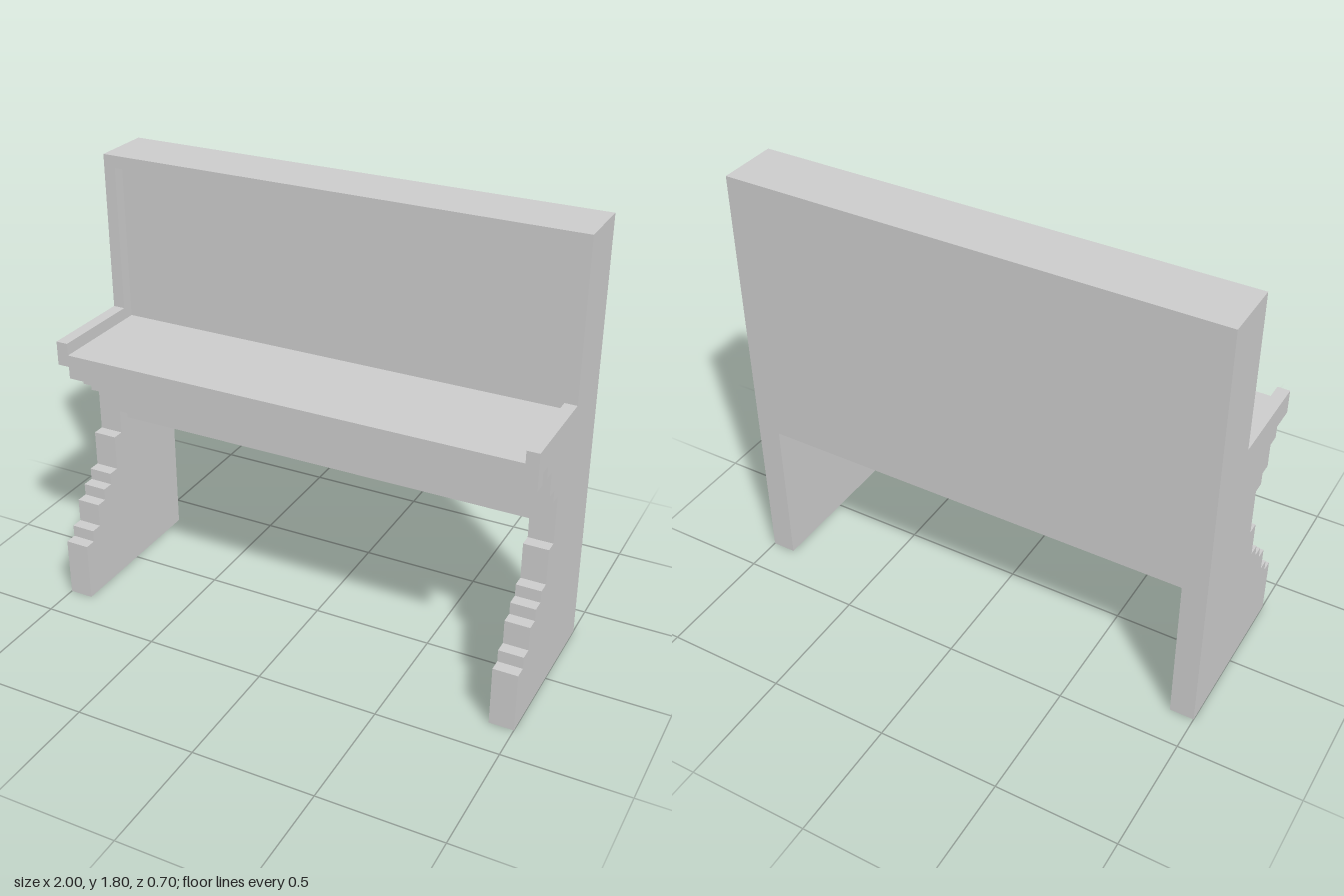
import * as THREE from 'three';

const material = new THREE.MeshStandardMaterial({ color: 0xcccccc, flatShading: true });

// Stepped silhouettes as [z, y]
const footSteps = [
  [-0.35, 0], [0.35, 0], [0.35, 0.25], [0.3, 0.25], [0.3, 0.3], [0.25, 0.3], [0.25, 0.4],
  [0.2, 0.4], [0.2, 0.45], [0.15, 0.45], [0.15, 0.5], [0.1, 0.5], [0.1, 0.65], [0.05, 0.65],
  [0.05, 0.85], [0.1, 0.85], [0.1, 0.9], [0.15, 0.9], [0.15, 1],
];
const armTop = [[0.3, 1.15], [-0.1, 1.15], [-0.1, 1.8], [-0.35, 1.8]];
// Underside of each arm: a small notch on the left, a cut-back end on the right
const leftArm = [[0.2, 1], [0.2, 1.05], [0.25, 1.05], [0.25, 1], [0.3, 1]];
const rightArm = [[0.2, 1], [0.2, 1.05], [0.3, 1.05]];

export function createModel() {
  const model = new THREE.Group();
  model.name = 'uprightCabinet';

  const add = (name, geometry) => {
    const mesh = new THREE.Mesh(geometry, material);
    mesh.name = name;
    model.add(mesh);
    return mesh;
  };

  // Box given by its half width and its y and z ranges
  const slab = (name, halfX, y0, y1, z0, z1) => {
    const mesh = add(name, new THREE.BoxGeometry(halfX * 2, y1 - y0, z1 - z0));
    mesh.position.set(0, (y0 + y1) / 2, (z0 + z1) / 2);
  };

  // Silhouette extruded sideways, 0.05 thick, ending at x = maxX
  const board = (name, points, maxX) => {
    const shape = new THREE.Shape(points.map(([z, y]) => new THREE.Vector2(z, y)));
    const geometry = new THREE.ExtrudeGeometry(shape, { depth: 0.05, bevelEnabled: false });
    geometry.rotateY(-Math.PI / 2);
    add(name, geometry).position.x = maxX;
  };

  // Side panels with arms, and the inner leg layers that thicken them
  board('leftSidePanel', [...footSteps, ...leftArm, ...armTop], 1);
  board('rightSidePanel', [...footSteps, ...rightArm, ...armTop], -0.95);
  const innerLeg = [...footSteps, [-0.35, 1]];
  board('leftInnerLeg', innerLeg, 0.95);
  board('rightInnerLeg', innerLeg, -0.9);

  // Upper case with recessed front panel
  slab('upperPanel', 0.95, 1, 1.75, -0.35, -0.15);
  slab('topRail', 0.95, 1.75, 1.8, -0.35, -0.1);
  slab('shelf', 0.95, 1, 1.1, -0.15, 0.3);

  // Lower case, stepping forward towards the shelf
  slab('lowerBack', 0.9, 0.65, 1, -0.35, -0.2);
  slab('apron', 0.9, 0.7, 1, -0.2, 0);
  slab('fascia', 0.9, 0.75, 1, 0, 0.05);
  slab('lowerMoulding', 0.9, 0.85, 1, 0.05, 0.1);
  slab('upperMoulding', 0.9, 0.9, 1, 0.1, 0.15);

  return model;
}
